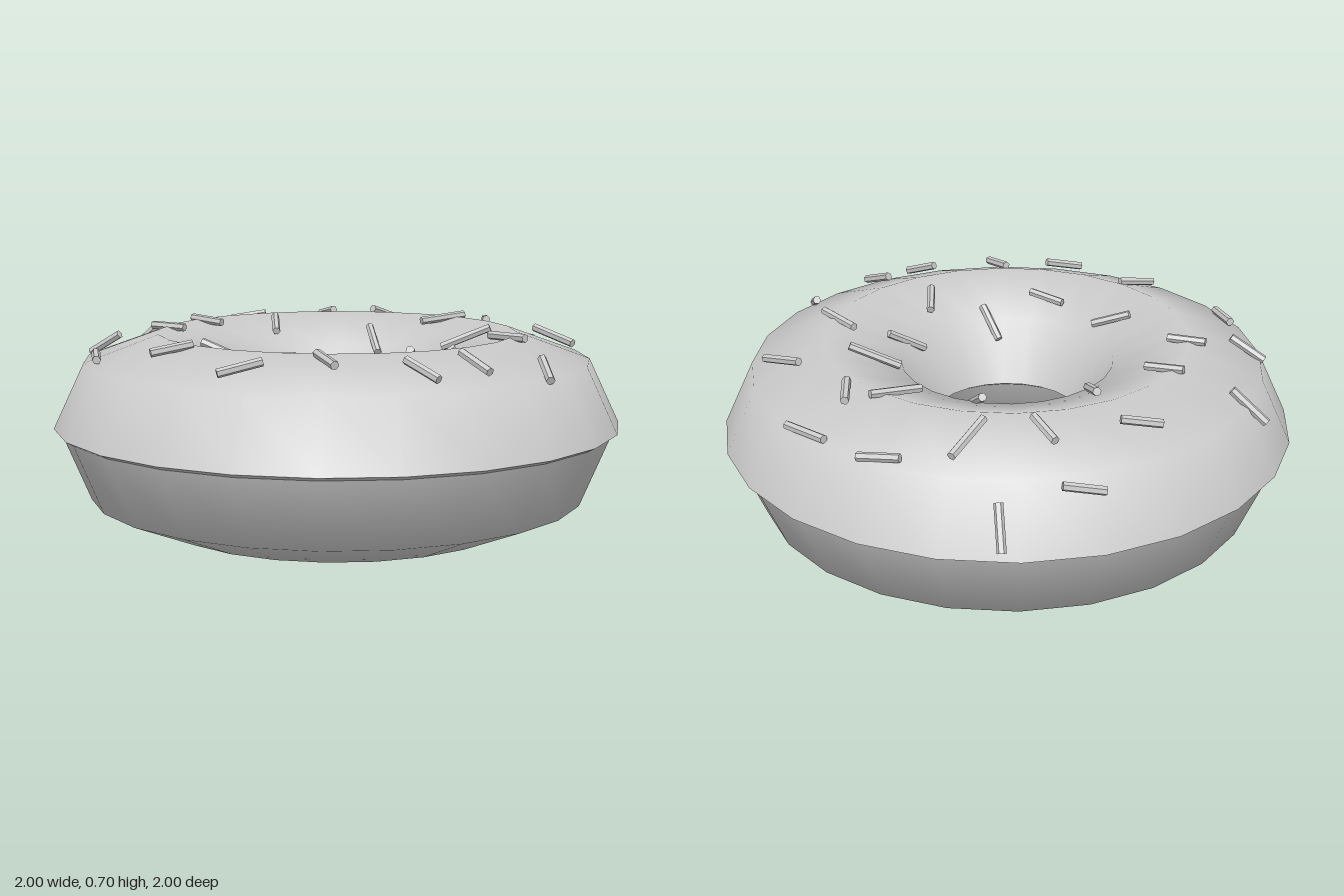
import * as THREE from 'three';

const SEGMENTS = 24;
const RING = 0.6325; // radius of the ring's centre line
const ICING = { a: 0.3675, b: 0.32, y: 0.358 };

// half-ellipse section swept around the ring, counter-clockwise from angle t0
function halfRing(a, b, y, t0) {
  const pts = [];
  for (let i = 0; i <= 4; i++) {
    const t = t0 + (i * Math.PI) / 4;
    pts.push(new THREE.Vector2(RING + a * Math.cos(t), y + b * Math.sin(t)));
  }
  return new THREE.LatheGeometry(pts, SEGMENTS);
}

// plan positions of the two ends of each sprinkle: x1, z1, x2, z2
const SPRINKLES = [
  [-.27, -.91, -.22, -.80], [.14, -.79, .24, -.70], [.45, -.82, .55, -.73],
  [.71, -.615, .76, -.675], [-.59, -.68, -.54, -.57], [-.40, -.56, -.35, -.435],
  [-.16, -.645, -.12, -.515], [.07, -.425, .15, -.53], [.47, -.63, .43, -.505],
  [.55, -.405, .725, -.435], [-.725, -.44, -.80, -.32], [.81, -.30, .87, -.17],
  [.38, -.24, .315, -.125], [-.46, -.18, -.395, -.06], [-.77, -.045, -.64, .01],
  [.50, -.08, .67, -.02], [.875, -.025, .875, .155], [.735, .03, .64, .125],
  [-.43, .115, -.405, .25], [-.205, .23, -.23, .335], [.335, .19, .45, .32],
  [-.77, .31, -.645, .38], [.085, .325, .21, .38], [-.475, .44, -.515, .57],
  [-.05, .43, -.14, .515], [.64, .365, .64, .545], [.32, .44, .30, .62],
  [-.31, .67, -.295, .80], [-.095, .70, -.105, .835], [.19, .79, .12, .89],
];

export function createModel() {
  const group = new THREE.Group();
  const smooth = new THREE.MeshStandardMaterial({ color: 0xcccccc, side: THREE.DoubleSide });
  const faceted = new THREE.MeshStandardMaterial({ color: 0xcccccc, flatShading: true });

  const add = (name, geometry, material, parent = group) => {
    const mesh = new THREE.Mesh(geometry, material);
    mesh.name = name;
    parent.add(mesh);
    return mesh;
  };

  // dough: lower half of the ring
  add('dough', halfRing(0.345, 0.35, 0.35, Math.PI), smooth);

  // icing: upper half, slightly wider than the dough
  add('icing', halfRing(ICING.a, ICING.b, ICING.y, 0), smooth);

  // narrow lips closing the icing onto the dough, outside and inside the hole
  const lip = (r1, y1, r2, y2) =>
    new THREE.LatheGeometry([new THREE.Vector2(r1, y1), new THREE.Vector2(r2, y2)], SEGMENTS);
  add('outerIcingLip', lip(RING + 0.34, 0.343, RING + ICING.a, ICING.y), smooth);
  add('innerIcingLip', lip(RING - ICING.a, ICING.y, RING - 0.34, 0.343), smooth);

  // sprinkles: lie along the icing's tangent at their midpoint
  const sprinkles = new THREE.Group();
  sprinkles.name = 'sprinkles';
  group.add(sprinkles);
  const up = new THREE.Vector3(0, 1, 0);
  for (const [x1, z1, x2, z2] of SPRINKLES) {
    const x = (x1 + x2) / 2, z = (z1 + z2) / 2;
    const r = Math.hypot(x, z);
    const t = THREE.MathUtils.clamp((r - RING) / ICING.a, -0.97, 0.97);
    const root = Math.sqrt(1 - t * t);
    const slope = THREE.MathUtils.clamp((-ICING.b / ICING.a) * t / root, -1.7, 1.7);
    const outward = ((x2 - x1) * x + (z2 - z1) * z) / r;
    const dir = new THREE.Vector3(x2 - x1, slope * outward, z2 - z1);
    const rod = new THREE.CylinderGeometry(0.015, 0.015, dir.length(), 6);
    const mesh = add('sprinkle', rod, faceted, sprinkles);
    mesh.position.set(x, ICING.y + ICING.b * root, z);
    mesh.quaternion.setFromUnitVectors(up, dir.normalize());
  }
  return group;
}
